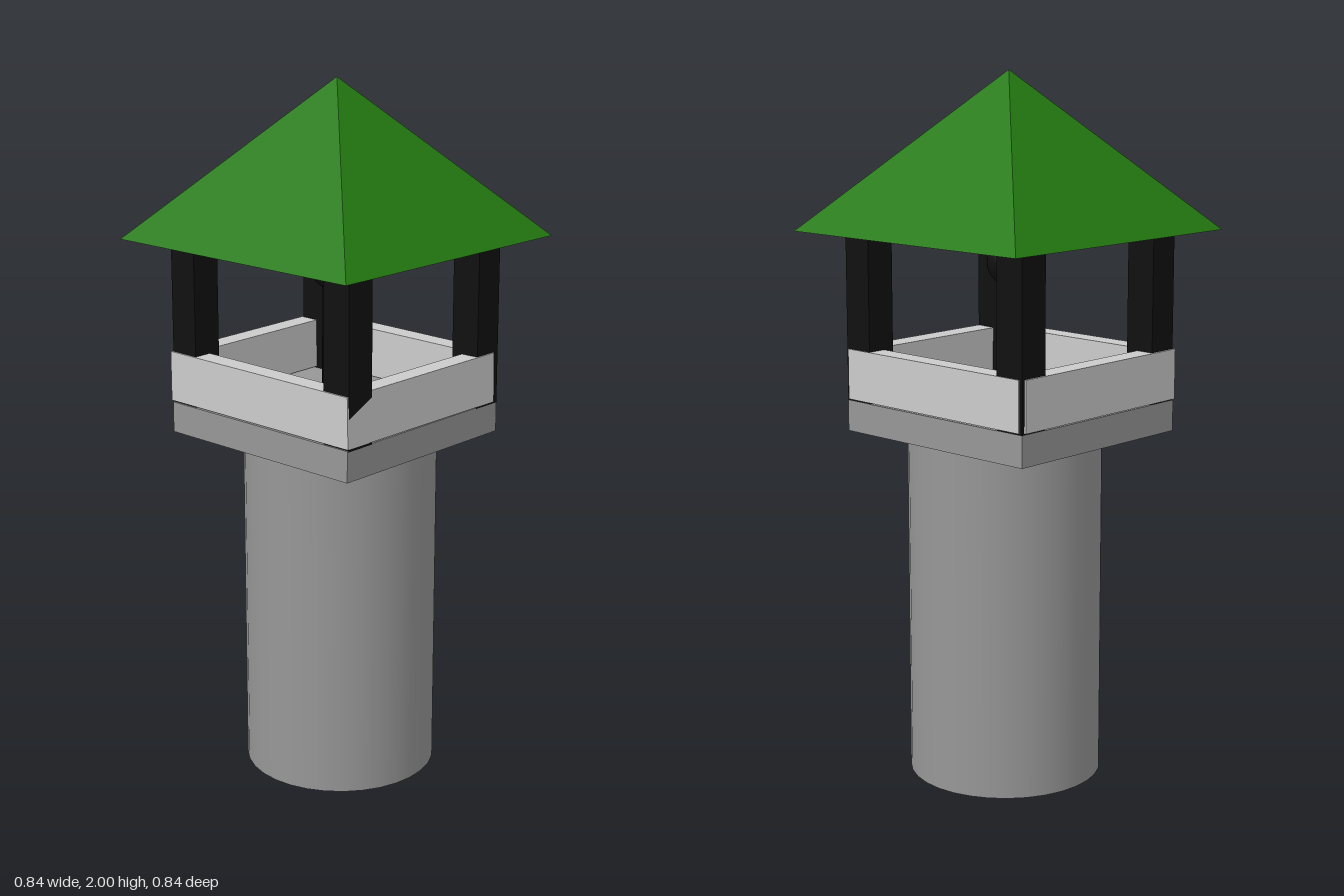
import * as THREE from 'three';

const material = (color) => new THREE.MeshStandardMaterial({ color });

export function createModel() {
  const group = new THREE.Group();
  const stone = material(0x979797);
  const pale = material(0xcccccc);
  const black = material(0x101010);
  const green = material(0x237a10);
  green.flatShading = true;

  const add = (name, geometry, mat, x, y, z) => {
    const mesh = new THREE.Mesh(geometry, mat);
    mesh.name = name;
    mesh.position.set(x, y, z);
    group.add(mesh);
    return mesh;
  };
  // Box given by its lower and upper corners
  const addBox = (name, mat, [x0, y0, z0], [x1, y1, z1]) =>
    add(name, new THREE.BoxGeometry(x1 - x0, y1 - y0, z1 - z0), mat,
      (x0 + x1) / 2, (y0 + y1) / 2, (z0 + z1) / 2);

  // Round tower shaft and the square platform on top
  add('towerShaft', new THREE.CylinderGeometry(0.275, 0.275, 1, 32), stone, -0.005, 0.5, -0.02);
  addBox('platform', stone, [-0.35, 0.995, -0.322], [0.317, 1.083, 0.303]);

  // Parapet walls around the platform, the left one leaning slightly
  const low = 1.087, high = 1.23;
  addBox('frontParapet', pale, [-0.355, low, 0.243], [0.315, high, 0.303]);
  addBox('backParapet', pale, [-0.34, low, -0.324], [0.312, high, -0.264]);
  addBox('rightParapet', pale, [-0.355, low, -0.312], [-0.295, high, 0.3]);
  const left = addBox('leftParapet', pale, [0.261, low, -0.3], [0.321, high, 0.303]);
  left.rotation.set(0, -0.0095, 0.02);

  // Corner posts carrying the roof
  for (const x of [-0.304, 0.273]) {
    for (const z of [-0.276, 0.253]) {
      add('cornerPost', new THREE.BoxGeometry(0.09, 0.485, 0.09), black, x, 1.3225, z);
    }
  }

  // Central rod with a ball on top
  add('centreRod', new THREE.CylinderGeometry(0.034, 0.034, 0.37, 24), black, -0.023, 1.265, -0.014);
  add('centreBall', new THREE.SphereGeometry(0.068, 32, 16), black, -0.023, 1.475, -0.014);

  // Pyramid roof, a little longer along one diagonal
  const roof = new THREE.ConeGeometry(1, 0.44, 4);
  roof.scale(0.594, 1, 0.568);
  roof.rotateY(Math.PI / 4);
  add('roof', roof, green, 0, 1.78, 0);

  return group;
}
